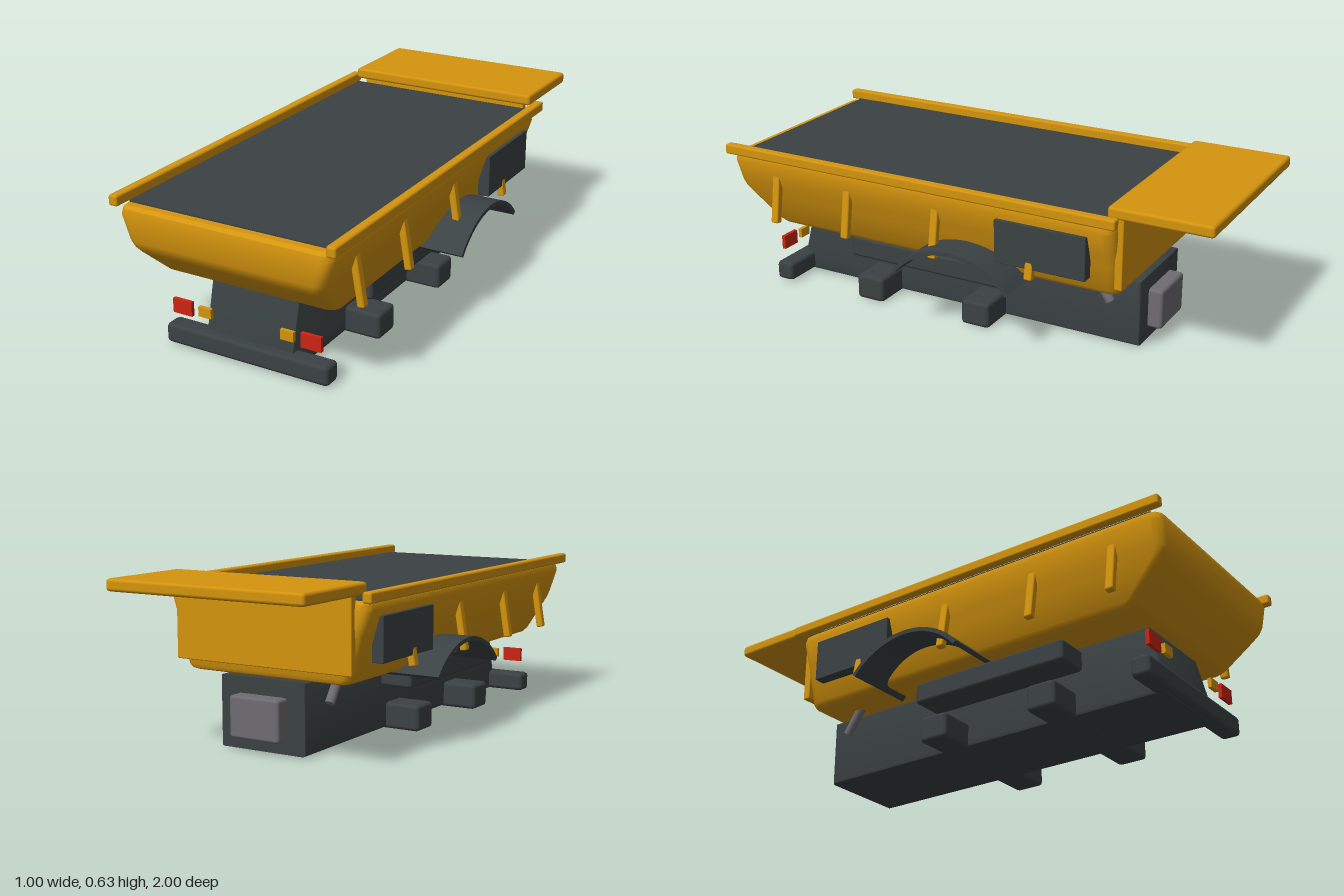
import * as THREE from 'three';
import { toCreasedNormals } from 'three/addons/utils/BufferGeometryUtils.js';
import { RoundedBoxGeometry } from 'three/addons/geometries/RoundedBoxGeometry.js';

function material(name, color) {
  const m = new THREE.MeshStandardMaterial({ color });
  m.name = name;
  return m;
}

// Rounded-rectangle rings [y, halfWidth, zBack, zFront, cornerRadius] joined upwards
function loftRings(rings, perCorner = 5) {
  const pos = [], index = [], n = perCorner * 4;
  for (const [y, hw, zb, zf, r] of rings) {
    for (let c = 0; c < 4; c++) {
      const cx = (c === 0 || c === 3 ? 1 : -1) * (hw - r);
      const cz = c < 2 ? zf - r : zb + r;
      for (let k = 0; k < perCorner; k++) {
        const a = (c + k / (perCorner - 1)) * Math.PI / 2;
        pos.push(cx + r * Math.cos(a), y, cz + r * Math.sin(a));
      }
    }
  }
  const top = (rings.length - 1) * n;
  for (let i = 0; i < n; i++) {
    const j = (i + 1) % n;
    for (let l = 0; l < top; l += n) {
      index.push(l + i, l + n + i, l + j, l + j, l + n + i, l + n + j);
    }
    if (i > 0 && i < n - 1) index.push(0, i, i + 1, top, top + i + 1, top + i);
  }
  const g = new THREE.BufferGeometry();
  g.setAttribute('position', new THREE.Float32BufferAttribute(pos, 3));
  g.setIndex(index);
  return toCreasedNormals(g, 0.6);
}

// Extrude a (z, y) side profile across x, centred on x = 0
function extrudeAcross(shape, width, bevel) {
  const g = new THREE.ExtrudeGeometry(shape, {
    depth: width - 2 * bevel, bevelEnabled: bevel > 0, bevelSize: bevel,
    bevelThickness: bevel, bevelOffset: -bevel, bevelSegments: 2, curveSegments: 24,
  });
  g.translate(0, 0, -(width - 2 * bevel) / 2);
  g.rotateY(-Math.PI / 2);
  return toCreasedNormals(g, 0.5);
}

export function createModel() {
  const model = new THREE.Group();
  model.name = 'dumpBody';
  const yellow = material('yellowPaint', 0xd4940e);
  const dark = material('darkSteel', 0x3b4243);
  const grey = material('greyMetal', 0x6e6c72);
  const red = material('redLens', 0xcc2412);

  function add(name, geometry, mat, x = 0, y = 0, z = 0) {
    const mesh = new THREE.Mesh(geometry, mat);
    mesh.name = name;
    mesh.position.set(x, y, z);
    model.add(mesh);
    return mesh;
  }
  // Chamfered box given by its extents
  function box(name, mat, [x0, x1], [y0, y1], [z0, z1], bevel = 0) {
    const size = [x1 - x0, y1 - y0, z1 - z0];
    const g = bevel ? new RoundedBoxGeometry(...size, 1, bevel) : new THREE.BoxGeometry(...size);
    return add(name, g, mat, (x0 + x1) / 2, (y0 + y1) / 2, (z0 + z1) / 2);
  }

  // Tub with sloping tail and tapered sides
  add('tub', loftRings([
    [0.27, 0.325, -0.625, 0.79, 0.03],
    [0.276, 0.34, -0.638, 0.822, 0.035],
    [0.29, 0.35, -0.645, 0.848, 0.04],
    [0.39, 0.377, -0.645, 0.955, 0.04],
    [0.415, 0.385, -0.645, 0.977, 0.04],
    [0.44, 0.392, -0.645, 0.987, 0.04],
    [0.53, 0.421, -0.645, 0.99, 0.04],
    [0.553, 0.415, -0.64, 0.985, 0.035],
    [0.564, 0.402, -0.63, 0.972, 0.03],
  ]), yellow);
  box('load', dark, [-0.4, 0.4], [0.55, 0.57], [-0.625, 0.945]);
  box('headboard', yellow, [-0.37, 0.37], [0.31, 0.59], [-0.665, -0.635], 0.004);
  box('canopy', yellow, [-0.405, 0.405], [0.585, 0.63], [-1, -0.615], 0.012);

  // Chassis block
  const side = new THREE.Shape();
  side.moveTo(-0.66, 0.008);
  side.lineTo(0.845, 0.008);
  side.lineTo(0.845, 0.07);
  side.lineTo(0.795, 0.27);
  side.lineTo(-0.66, 0.27);
  side.closePath();
  add('chassis', extrudeAcross(side, 0.36, 0.01), dark);
  box('bumper', dark, [-0.335, 0.335], [0.01, 0.085], [0.8, 0.875], 0.015);
  for (const z of [0.43, -0.045]) {
    box('crossMember', dark, [-0.32, 0.32], [0.004, 0.105], [z - 0.06, z + 0.06], 0.015);
  }
  box('rearHousing', grey, [-0.105, 0.105], [0.055, 0.21], [-0.715, -0.64], 0.012);

  // Wheel arch band
  const arch = new THREE.Shape();
  const half = 0.87, mid = Math.PI / 2;
  arch.absarc(-0.045, 0.058, 0.317, mid - half, mid + half, false);
  arch.absarc(-0.045, 0.058, 0.301, mid + half, mid - half, true);
  arch.closePath();
  const archGeometry = extrudeAcross(arch, 0.28, 0);

  for (const s of [1, -1]) {
    const span = (a, b) => (s > 0 ? [a, b] : [-b, -a]);
    const sideName = s > 0 ? 'left' : 'right';
    box(sideName + 'Rail', yellow, span(0.41, 0.447), [0.56, 0.6], [-0.665, 1], 0.008);
    box(sideName + 'SidePanel', dark, span(0.38, 0.427), [0.343, 0.508], [-0.55, -0.19], 0.003);
    box(sideName + 'Tank', dark, span(0.16, 0.307), [0.175, 0.257], [-0.14, 0.52], 0.012);
    box(sideName + 'TailLight', red, span(0.225, 0.305), [0.132, 0.187], [0.849, 0.864]);
    box(sideName + 'Indicator', yellow, span(0.143, 0.196), [0.142, 0.179], [0.849, 0.864]);
    add(sideName + 'Fender', archGeometry, dark, s * 0.36);

    // Leaning ribs
    for (const z of [0.79, 0.46, 0.07, -0.33]) {
      const rib = add(sideName + 'Rib', new RoundedBoxGeometry(0.028, 0.235, 0.032, 1, 0.006),
        yellow, s * 0.405, 0.418, z);
      rib.rotation.z = s * 0.16;
    }
    // Hydraulic strut
    const strut = add(sideName + 'Strut', new THREE.CylinderGeometry(0.018, 0.018, 0.12, 16),
      grey, s * 0.215, 0.235, -0.523);
    strut.rotation.x = 0.6;
  }
  return model;
}
